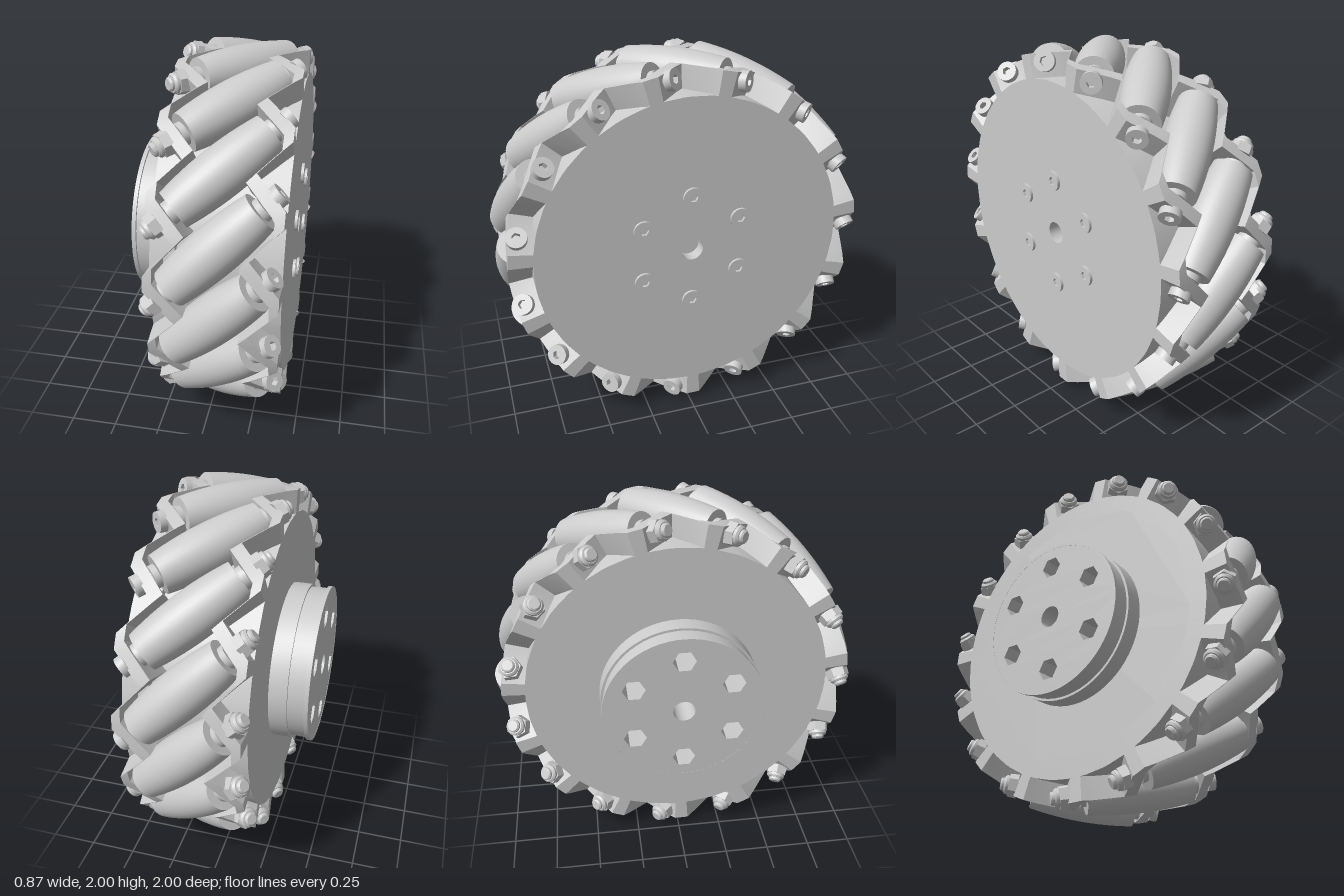
import * as THREE from 'three';
import { toCreasedNormals } from 'three/addons/utils/BufferGeometryUtils.js';

const COUNT = 15, STEP = 24;        // rollers and their spacing in degrees
const AXIS_R = 0.875, MID_X = 0.1;  // roller axis radius, middle plane of the wheel
const FACE = 0.32;                  // flange face, measured from the middle plane
const RAD = Math.PI / 180;
const material = new THREE.MeshStandardMaterial({ color: 0xcccccc });

function add(parent, name, geometry) {
  const mesh = new THREE.Mesh(geometry, material);
  mesh.name = name;
  parent.add(mesh);
  return mesh;
}

// Round plate along z from 0 to depth; holes are [x, y, radius, sides]
function plate(radius, depth, holes = [], sides = 64) {
  const ngon = (x, y, r, n) => Array.from({ length: n }, (_, i) => new THREE.Vector2(
    x + r * Math.cos(i / n * 2 * Math.PI), y + r * Math.sin(i / n * 2 * Math.PI)));
  const shape = new THREE.Shape(ngon(0, 0, radius, sides));
  holes.forEach(h => shape.holes.push(new THREE.Path(ngon(...h))));
  const g = new THREE.ExtrudeGeometry(shape, { depth, bevelEnabled: false });
  return toCreasedNormals(g, 0.5);
}
const alongX = (g, x) => g.rotateY(Math.PI / 2).translate(x, 0, 0);
const alongY = (g, y) => g.rotateX(-Math.PI / 2).translate(0, y, 0);

function lathe(points, segments = 32) {
  const g = new THREE.LatheGeometry(points.map(p => new THREE.Vector2(...p)), segments);
  return toCreasedNormals(g, 0.5);
}

// Zigzag rim of a flange: walls square to the rollers joined by walls along them
function zigzagRim() {
  const amp = 0.09, inner = { x: 0.22, a: 14.1, max: 0.275 }, outer = { x: 0.265, a: 16.85, max: FACE };
  const wave = (w, deg) => {
    const u = ((deg - w.a + 6) % STEP + STEP) % STEP - 6;
    return Math.min(w.max, w.x + amp * (u < 6 ? -u / 6 : (u - 12) / 6));
  };
  const knots = [inner, outer].flatMap(w => [-3.67, 6, 15.67].map(k => (w.a + k + STEP) % STEP)).sort((p, q) => p - q);
  const rings = [];
  for (let i = 0; i < COUNT; i++) {
    for (const k of knots) {
      const deg = k + i * STEP, xi = wave(inner, k), xo = wave(outer, k);
      const section = [[xi, 0.74], [xi, 0.96], [xo, 0.96], [xo, 0.835], [FACE, 0.835], [FACE, 0.74]];
      rings.push(section.map(([x, r]) => [x, r * Math.sin(deg * RAD), r * Math.cos(deg * RAD)]));
    }
  }
  const pos = [];
  rings.forEach((A, i) => {
    const B = rings[(i + 1) % rings.length];
    for (let j = 0; j < A.length; j++) {
      const k = (j + 1) % A.length;
      pos.push(...A[j], ...A[k], ...B[k], ...A[j], ...B[k], ...B[j]);
    }
  });
  const g = new THREE.BufferGeometry();
  g.setAttribute('position', new THREE.Float32BufferAttribute(pos, 3));
  return toCreasedNormals(g, 0.3);
}

function createFlange(name) {
  const flange = new THREE.Group();
  flange.name = name;
  add(flange, 'zigzagRim', zigzagRim());
  add(flange, 'flangeDisc', alongX(plate(0.745, 0.1, [[0, 0, 0.06, 32]], 90), FACE - 0.1));
  return flange;
}

// Roller with its through-bolt, lying along y
function createRoller() {
  const roller = new THREE.Group();
  roller.name = 'roller';
  const half = 0.285, barrel = [[0, -half]];
  for (let i = 0; i <= 12; i++) {
    const d = -half + 2 * half * i / 12;
    barrel.push([1 - Math.sqrt(AXIS_R ** 2 + d * d / 2), d]);
  }
  barrel.push([0, half]);
  add(roller, 'rollerBarrel', lathe(barrel));
  add(roller, 'rollerBushing', new THREE.CylinderGeometry(0.06, 0.06, 0.63, 24));
  add(roller, 'boltShaft', lathe([[0, -0.465], [0.028, -0.465], [0.036, -0.457], [0.036, 0.38], [0, 0.38]], 20));
  add(roller, 'boltHead', alongY(plate(0.054, 0.04, [[0, 0, 0.024, 6]], 24), 0.375));
  add(roller, 'nut', toCreasedNormals(new THREE.CylinderGeometry(0.066, 0.062, 0.05, 6), 0.5)).position.y = -0.395;
  add(roller, 'nutCollar', lathe([[0, -0.445], [0.042, -0.445], [0.052, -0.435], [0.052, -0.41], [0, -0.41]], 24));
  return roller;
}

export function createModel() {
  const model = new THREE.Group();
  model.name = 'rollerWheel';
  const wheel = new THREE.Group();
  wheel.name = 'wheel';
  wheel.position.y = 1;
  model.add(wheel);

  // Flanges and rollers, turned to their starting angle
  const rim = new THREE.Group();
  rim.name = 'rim';
  rim.position.x = MID_X;
  rim.rotation.x = 6 * RAD;
  wheel.add(rim);
  const outerFlange = createFlange('outerFlange');
  const innerFlange = createFlange('innerFlange');
  innerFlange.rotation.z = Math.PI;
  rim.add(outerFlange, innerFlange);
  add(rim, 'drum', new THREE.CylinderGeometry(0.7, 0.7, 0.5, 60).rotateZ(Math.PI / 2));

  const roller = createRoller();
  roller.position.z = AXIS_R;
  roller.rotation.z = -Math.PI / 4;
  for (let i = 0; i < COUNT; i++) {
    const station = new THREE.Group();
    station.name = 'rollerStation';
    station.rotation.x = -i * STEP * RAD;
    station.add(roller.clone());
    rim.add(station);
  }

  // Hub with hexagonal bolt pockets and raised lips
  const spots = Array.from({ length: 6 }, (_, i) => [0.305 * Math.sin(i * 60 * RAD), 0.305 * Math.cos(i * 60 * RAD)]);
  const pockets = [...spots.map(([x, y]) => [x, y, 0.062, 6]), [0, 0, 0.06, 32]];
  add(wheel, 'hub', alongX(plate(0.425, 0.22, pockets), -0.432));
  add(wheel, 'hubEndLip', alongX(plate(0.438, 0.022, [[0, 0, 0.42, 64]]), -0.433));
  add(wheel, 'hubBaseLip', alongX(plate(0.438, 0.11, [[0, 0, 0.42, 64]]), -0.32));

  // Bolts holding the hub
  for (const [z, y] of spots) {
    const head = add(wheel, 'hubBoltHead', alongX(plate(0.054, 0.025, [[0, 0, 0.024, 6]], 32), 0.41));
    head.position.set(0, y, z);
  }
  return model;
}
